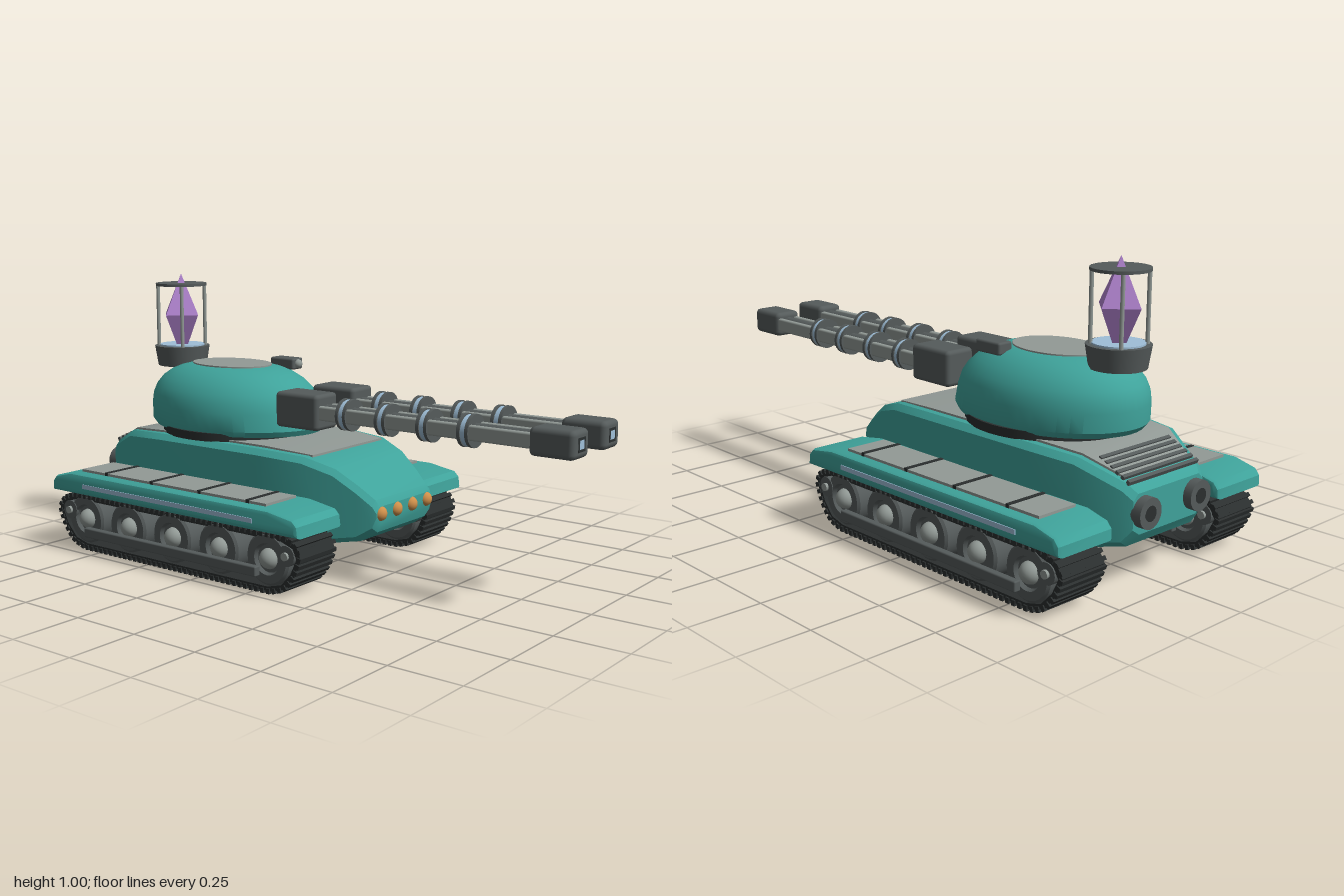
import * as THREE from 'three';
import { mergeGeometries, toCreasedNormals } from 'three/addons/utils/BufferGeometryUtils.js';
import { RoundedBoxGeometry } from 'three/addons/geometries/RoundedBoxGeometry.js';

const mat = (name, color) => Object.assign(new THREE.MeshStandardMaterial({ color }), { name });

export function createModel() {
  const teal = mat('teal armour', 0x3fa39b), gun = mat('gunmetal', 0x555b5b), grey = mat('light grey', 0x929a96);
  const black = mat('track black', 0x2b2f2f), purple = mat('crystal purple', 0xb184d0);
  const orange = mat('lamp orange', 0xcf8f4a), blue = mat('pale blue', 0x9fbfd8);
  const model = new THREE.Group();

  const add = (name, geo, material, x = 0, y = 0, z = 0, parent = model) => {
    const m = new THREE.Mesh(geo, material);
    m.name = name;
    m.position.set(x, y, z);
    parent.add(m);
    return m;
  };
  const box = (w, h, d) => new THREE.BoxGeometry(w, h, d);
  const round = (w, h, d, r) => new RoundedBoxGeometry(w, h, d, 2, r);
  const cylX = (r, len, n = 20) => new THREE.CylinderGeometry(r, r, len, n).rotateZ(-Math.PI / 2);
  const v2 = (pts) => pts.map(([x, y]) => new THREE.Vector2(x, y));

  // Closed skin over rings along x; each ring is a list of [z, y]
  const loft = (rings) => {
    const n = rings[0].pts.length, pos = [], idx = [];
    rings.forEach(({ x, pts }) => pts.forEach(([z, y]) => pos.push(x, y, z)));
    for (let i = 0; i < rings.length - 1; i++) for (let j = 0; j < n; j++) {
      const a = i * n + j, b = i * n + (j + 1) % n;
      idx.push(a, a + n, b, b, a + n, b + n);
    }
    const e = (rings.length - 1) * n;
    for (let j = 1; j < n - 1; j++) idx.push(0, j, j + 1, e, e + j + 1, e + j);
    const g = new THREE.BufferGeometry();
    g.setAttribute('position', new THREE.Float32BufferAttribute(pos, 3));
    g.setIndex(idx);
    return toCreasedNormals(g, 0.45);
  };

  // Hull: x, top, bottom, half width
  const hull = [
    [-0.97, 0.33, 0.2, 0.165], [-0.94, 0.36, 0.16, 0.185], [-0.8, 0.422, 0.132, 0.245], [-0.62, 0.432, 0.13, 0.27],
    [-0.15, 0.432, 0.13, 0.27], [0.03, 0.422, 0.13, 0.248], [0.14, 0.388, 0.132, 0.215], [0.22, 0.335, 0.145, 0.19],
    [0.275, 0.292, 0.18, 0.172], [0.288, 0.27, 0.215, 0.165]];
  add('hull', loft(hull.map(([x, t, b, w]) => ({
    x,
    pts: [[w - 0.03, b], [w, b + 0.02], [w, t - 0.02], [w - 0.02, t], [0.02 - w, t], [-w, t - 0.02], [-w, b + 0.02], [0.03 - w, b]],
  }))), teal);

  // Deck plate following the hull top
  const deck = [[-0.92, 0.369, 0.155], [-0.8, 0.422, 0.205], [-0.62, 0.432, 0.225], [-0.15, 0.432, 0.225], [0.045, 0.418, 0.2]];
  add('deckPlate', loft(deck.map(([x, y, w]) => ({
    x, pts: [[w, y - 0.02], [w, y + 0.007], [-w, y + 0.007], [-w, y - 0.02]],
  }))), grey);

  // Engine louvres on the sloped rear deck
  for (let i = 0; i < 6; i++) {
    add('louvre', box(0.012, 0.014, 0.33), gun, -0.945 + i * 0.022, 0.362 + i * 0.0098, 0).rotation.z = 0.43;
  }

  for (const s of [1, -1]) {
    // Exhausts
    add('exhaust', cylX(0.05, 0.06), gun, -0.97, 0.27, s * 0.12);
    add('exhaustCore', cylX(0.025, 0.004), black, -0.999, 0.27, s * 0.12);
    // Headlamps
    for (const z of [0.045, 0.135]) add('headlamp', new THREE.SphereGeometry(0.026, 16, 12), orange, 0.28, 0.245, s * z);
  }

  // Fender
  const fenderShape = new THREE.Shape(v2([[-0.97, 0.215], [0.21, 0.215], [0.205, 0.255], [0.185, 0.275], [0.08, 0.292],
    [-0.87, 0.292], [-0.95, 0.272], [-0.968, 0.25]]));
  const fenderGeo = toCreasedNormals(new THREE.ExtrudeGeometry(fenderShape, {
    depth: 0.205, bevelSize: 0.015, bevelThickness: 0.015, bevelOffset: -0.015, bevelSegments: 2,
  }), 0.5);

  // Track belt and its pads
  const loop = [[-0.83, 0.012], [0.07, 0.012], [0.13, 0.03], [0.17, 0.08], [0.197, 0.145], [0.18, 0.185], [0.13, 0.205],
    [-0.88, 0.205], [-0.935, 0.185], [-0.96, 0.145], [-0.935, 0.085], [-0.89, 0.03]];
  const belt = new THREE.Shape(v2(loop));
  belt.holes.push(new THREE.Path(v2(loop.map(([x, y]) => [-0.38 + (x + 0.38) * 0.972, 0.108 + (y - 0.108) * 0.84]))));
  const beltGeo = new THREE.ExtrudeGeometry(belt, { depth: 0.18, bevelEnabled: false });
  const ring = new THREE.Path(v2([...loop, loop[0]])).getSpacedPoints(100);
  const padGeo = mergeGeometries(ring.slice(0, -1).map((p, i) => {
    const q = ring[i + 1];
    return box(0.014, 0.018, 0.19).rotateZ(Math.atan2(q.y - p.y, q.x - p.x)).translate((p.x + q.x) / 2, (p.y + q.y) / 2, 0);
  }));

  // Road wheel profile, turned about z
  const half = [[0.0, 0.078], [0.048, 0.078], [0.054, 0.092], [0.082, 0.092], [0.09, 0.084]];
  const wheelPts = [...half.map(([r, h]) => [r, -h]), ...half.slice().reverse()];
  const wheelGeo = toCreasedNormals(new THREE.LatheGeometry(v2(wheelPts), 28).rotateX(Math.PI / 2), 0.5);
  const hubGeo = new THREE.SphereGeometry(0.036, 16, 12);

  for (const s of [1, -1]) {
    const side = new THREE.Group();
    side.name = s > 0 ? 'leftRunningGear' : 'rightRunningGear';
    model.add(side);
    const mid = s * 0.365;
    add('fender', fenderGeo, teal, 0, 0, s > 0 ? 0.265 : -0.47, side);
    add('fenderStripe', box(0.82, 0.016, 0.006), blue, -0.39, 0.25, s * 0.485, side);
    add('fenderPanel', box(0.89, 0.014, 0.155), grey, -0.405, 0.294, s * 0.362, side);
    for (const x of [-0.72, -0.49, -0.26, -0.04]) add('panelStrap', box(0.014, 0.018, 0.157), black, x, 0.295, s * 0.362, side);
    add('trackBelt', beltGeo, black, 0, 0, mid - 0.09, side);
    add('trackPads', padGeo, black, 0, 0, mid, side);
    for (let i = 0; i < 5; i++) {
      const x = -0.82 + i * 0.219;
      add('roadWheel', wheelGeo, gun, x, 0.12, mid, side);
      for (const f of [1, -1]) add('wheelHub', hubGeo, grey, x, 0.12, mid + f * 0.075, side);
    }
    for (const x of [-0.9, 0.14]) {
      add('idlerWheel', new THREE.CylinderGeometry(0.035, 0.035, 0.19, 16).rotateX(Math.PI / 2), gun, x, 0.145, mid, side);
      add('idlerAxle', new THREE.CylinderGeometry(0.014, 0.014, 0.21, 10).rotateX(Math.PI / 2), grey, x, 0.145, mid, side);
    }
    for (const f of [1, -1]) add('wheelBar', round(0.83, 0.035, 0.026, 0.005), gun, -0.385, 0.078, mid + f * 0.108, side);
  }

  // Turret: oval dome leaning slightly back
  const turretPts = v2([[0, 0.45], [0.96, 0.45], [1, 0.47], [0.985, 0.53], [0.96, 0.565], [0.91, 0.595], [0.82, 0.627],
    [0.7, 0.652], [0.58, 0.667], [0.46, 0.675], [0, 0.677]]);
  const turretGeo = new THREE.LatheGeometry(turretPts, 48).scale(0.36, 1, 0.262);
  const tp = turretGeo.attributes.position;
  for (let i = 0; i < tp.count; i++) tp.setX(i, tp.getX(i) - 0.47 - 0.03 * (tp.getY(i) - 0.45) / 0.225);
  add('turret', toCreasedNormals(turretGeo, 0.6), teal);
  add('turretRing', new THREE.CylinderGeometry(1, 1, 0.03, 48).scale(0.29, 1, 0.267), black, -0.47, 0.445, 0);
  add('roofPlate', new THREE.CylinderGeometry(1, 1, 0.008, 40).scale(0.165, 1, 0.12), grey, -0.498, 0.676, 0);

  // Roof sight
  add('sight', round(0.11, 0.042, 0.06, 0.008), gun, -0.355, 0.675, -0.145);
  add('sightLens', new THREE.SphereGeometry(0.017, 12, 10), grey, -0.3, 0.675, -0.145);

  // Twin guns
  for (const s of [1, -1]) {
    const g = new THREE.Group();
    g.name = s > 0 ? 'leftGun' : 'rightGun';
    g.position.set(0, 0.56, s * 0.103);
    model.add(g);
    add('mantlet', round(0.185, 0.125, 0.12, 0.015), gun, -0.06, 0, 0, g);
    add('barrelCore', cylX(0.027, 0.86, 12), gun, 0.44, 0, 0, g);
    for (const f of [1, -1]) add('barrelRail', round(0.84, 0.05, 0.022, 0.007), grey, 0.44, 0, f * 0.035, g);
    for (const x of [0.128, 0.29, 0.455, 0.61]) {
      for (const d of [-0.015, 0.015]) add('coilClamp', cylX(0.055, 0.012, 24), gun, x + d, 0, 0, g);
      add('coil', cylX(0.051, 0.018, 24), blue, x, 0, 0, g);
    }
    add('muzzle', round(0.155, 0.092, 0.105, 0.018), gun, 0.9215, 0, 0, g);
    add('muzzleBore', box(0.003, 0.045, 0.045), black, 0.9985, 0, 0, g);
    add('muzzleGlow', box(0.001, 0.028, 0.028), blue, 1.0, 0, 0, g);
  }

  // Crystal tower
  const tower = new THREE.Group();
  tower.name = 'crystalTower';
  tower.position.set(-0.755, 0, 0);
  model.add(tower);
  add('towerBase', new THREE.CylinderGeometry(0.104, 0.092, 0.075, 32), gun, 0, 0.69, 0, tower);
  add('towerGlowPlate', new THREE.CylinderGeometry(0.085, 0.085, 0.008, 32), blue, 0, 0.729, 0, tower);
  for (const x of [1, -1]) for (const z of [1, -1]) {
    add('towerPost', new THREE.CylinderGeometry(0.007, 0.007, 0.235, 10), grey, x * 0.062, 0.84, z * 0.062, tower);
  }
  add('towerCap', new THREE.CylinderGeometry(0.096, 0.096, 0.01, 32), gun, 0, 0.96, 0, tower);
  const crystal = mergeGeometries([
    new THREE.ConeGeometry(0.085, 0.155, 4, 1, true).translate(0, 0.9225, 0),
    new THREE.ConeGeometry(0.085, 0.175, 4, 1, true).rotateX(Math.PI).translate(0, 0.7575, 0)]);
  add('crystal', toCreasedNormals(crystal, 0.1), purple, 0, 0, 0, tower);

  return model;
}
